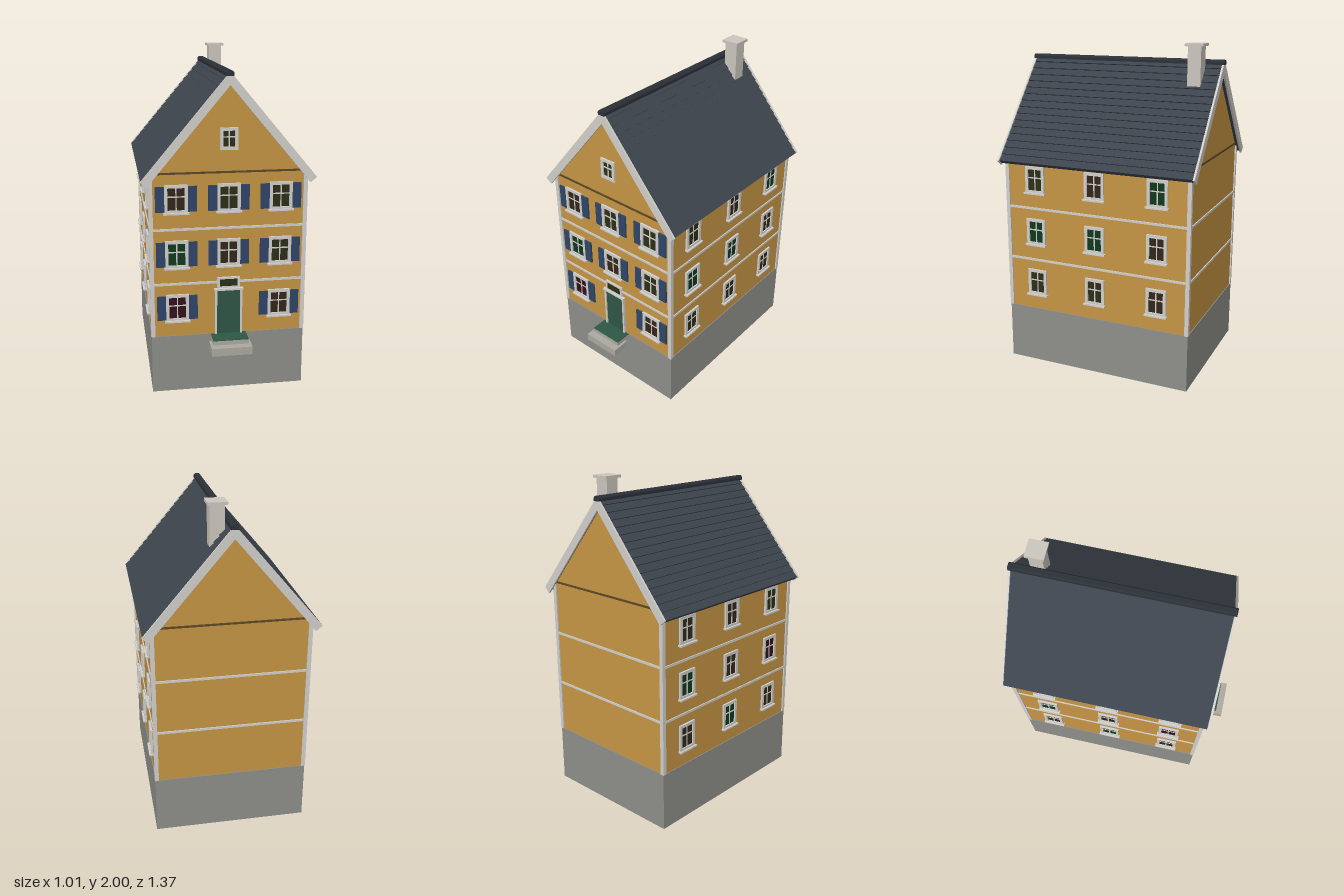
import * as THREE from 'three';

const mat = (color) => new THREE.MeshStandardMaterial({ color, flatShading: true });
const M = {
  wall: mat(0xc69544), stone: mat(0x8e8f89), trim: mat(0xd2d0cb), roof: mat(0x3c434c),
  ridge: mat(0x2c3138), shutter: mat(0x2f4568), door: mat(0x2e5645), step: mat(0xaca9a0),
  chimney: mat(0xcbc7be), beam: mat(0x5c4826),
};
// window glass tints: b brown, o olive, g green, r red
const GLASS = { b: mat(0x33261a), o: mat(0x2d2e17), g: mat(0x10381e), r: mat(0x33101a) };

const CZ = -0.056;           // middle of the house along z
const HX = 0.452, HZ = 0.59; // half width and half depth of the walls
const ROWS = [1.19, 0.862, 0.533];

function box(parent, name, material, w, h, d, x, y, z) {
  const m = new THREE.Mesh(new THREE.BoxGeometry(w, h, d), material);
  m.name = name;
  m.position.set(x, y, z);
  parent.add(m);
  return m;
}

function extrude(parent, name, material, points, z0, z1) {
  const shape = new THREE.Shape(points.map(([x, y]) => new THREE.Vector2(x, y)));
  const geo = new THREE.ExtrudeGeometry(shape, { depth: z1 - z0, bevelEnabled: false });
  geo.translate(0, 0, z0);
  const m = new THREE.Mesh(geo, material);
  m.name = name;
  parent.add(m);
  return m;
}

// Cross-barred window facing +z, its back on z = 0
function makeWindow(name, w, h, glass, { sill = true, shutters = false } = {}) {
  const g = new THREE.Group();
  g.name = name;
  const f = 0.018;
  box(g, 'glass', GLASS[glass], w - f, h - f, 0.006, 0, 0, 0.001);
  for (const s of [-1, 1]) {
    box(g, 'frameSide', M.trim, f, h, 0.014, s * (w - f) / 2, 0, 0.005);
    box(g, 'frameRail', M.trim, w - 2 * f, f, 0.014, 0, s * (h - f) / 2, 0.005);
    if (shutters) box(g, 'shutter', M.shutter, 0.052, 0.148, 0.01, s * (w / 2 + 0.026), 0, 0.005);
  }
  box(g, 'mullion', M.trim, 0.007, h - f, 0.006, 0, 0, 0.004);
  box(g, 'crossbar', M.trim, w - f, 0.007, 0.006, 0, h * 0.08, 0.004);
  if (sill) box(g, 'sill', M.trim, w + 0.014, 0.01, 0.026, 0, -h / 2, 0.011);
  return g;
}

export function createModel() {
  const house = new THREE.Group();
  house.name = 'townHouse';
  const body = new THREE.Group();
  body.name = 'building';
  body.position.z = CZ;
  house.add(body);

  // Stone base and gabled wall block
  box(body, 'base', M.stone, 0.914, 0.355, 1.19, 0, 0.1775, 0);
  extrude(body, 'walls', M.wall,
    [[-HX, 0.35], [HX, 0.35], [HX, 1.33], [0, 1.866], [-HX, 1.33]], -HZ, HZ);

  // Storey bands, gable beams and corner boards
  for (const y of [0.68, 1.01]) box(body, 'storeyBand', M.trim, 2 * HX + 0.012, 0.014, 2 * HZ + 0.012, 0, y, 0);
  for (const sz of [-1, 1]) {
    box(body, 'gableBeam', M.beam, 0.88, 0.011, 0.012, 0, 1.338, sz * HZ);
    for (const sx of [-1, 1])
      box(body, 'cornerBoard', M.trim, 0.024, 0.965, 0.024, sx * (HX - 0.004), 0.8375, sz * (HZ - 0.004));
  }

  // Windows: front with shutters, both sides plain, one small in the gable
  const front = ['boo', 'gbo', 'r b'], right = ['obg', 'ggb', 'oob'], left = ['obo', 'gbr', 'bgb'];
  ROWS.forEach((y, r) => {
    for (let c = 0; c < 3; c++) {
      if (front[r][c] !== ' ') {
        const w = makeWindow('frontWindow', 0.134, 0.166, front[r][c], { shutters: true });
        w.position.set((c - 1) * 0.303, y, HZ);
        body.add(w);
      }
      for (const [s, tints] of [[1, right], [-1, left]]) {
        const w = makeWindow('sideWindow', 0.126, 0.166, tints[r][c]);
        w.position.set(s * HX, y, -s * (c - 1) * 0.395);
        w.rotation.y = s * Math.PI / 2;
        body.add(w);
      }
    }
  });
  const attic = makeWindow('atticWindow', 0.102, 0.126, 'o', { sill: false });
  attic.position.set(0, 1.528, HZ);
  body.add(attic);

  // Front door with frame, lintel and transom light
  const entry = new THREE.Group();
  entry.name = 'entrance';
  entry.position.z = HZ;
  body.add(entry);
  box(entry, 'door', M.door, 0.14, 0.275, 0.01, 0, 0.4925, 0.003);
  for (const s of [-1, 1]) box(entry, 'doorPost', M.trim, 0.012, 0.28, 0.018, s * 0.075, 0.495, 0.007);
  box(entry, 'lintel', M.trim, 0.172, 0.012, 0.024, 0, 0.636, 0.01);
  box(entry, 'transomFrame', M.trim, 0.134, 0.066, 0.014, 0, 0.677, 0.005);
  box(entry, 'transomGlass', GLASS.o, 0.104, 0.042, 0.004, 0, 0.677, 0.012);

  // Door steps with a green landing
  box(house, 'upperStep', M.step, 0.21, 0.03, 0.11, 0, 0.336, 0.585);
  box(house, 'landing', M.door, 0.21, 0.004, 0.11, 0, 0.353, 0.585);
  box(house, 'lowerStep', M.step, 0.24, 0.048, 0.112, 0, 0.3, 0.628);

  // Roof: t runs down the slope from the ridge, n out from it
  const roof = new THREE.Group();
  roof.name = 'roof';
  body.add(roof);
  const TOP = 1.893, L = 0.776, A = Math.atan2(0.6, 0.505), COURSES = 16;
  const at = (s, t, n) => [s * (t * Math.cos(A) + n * Math.sin(A)), TOP - t * Math.sin(A) + n * Math.cos(A)];
  const atRidge = (n) => [0, TOP + n / Math.cos(A)];
  for (const s of [-1, 1]) {
    // Saw-tooth profile of overlapping slate courses
    const pts = [atRidge(-0.028), atRidge(-0.004)];
    for (let i = 0; i < COURSES; i++) {
      if (i) pts.push(at(s, L * i / COURSES, -0.004));
      pts.push(at(s, L * (i + 1) / COURSES, 0.004));
    }
    pts.push(at(s, L, -0.028));
    extrude(roof, 'roofSlope', M.roof, pts, -0.612, 0.612);
    // Bargeboards on both gable ends
    const board = [atRidge(-0.043), atRidge(0.004), at(s, L + 0.003, 0.004), at(s, L + 0.003, -0.043)];
    for (const z of [-0.626, 0.614]) extrude(roof, 'bargeboard', M.trim, board, z, z + 0.012);
  }
  // Faceted ridge cap
  extrude(roof, 'ridgeCap', M.ridge,
    [[-0.022, 1.876], [0.022, 1.876], [0.022, 1.893], [0.013, 1.904], [-0.013, 1.904], [-0.022, 1.893]], -0.628, 0.628);

  // Chimney on the right-hand slope
  box(house, 'chimney', M.chimney, 0.084, 0.242, 0.08, 0.075, 1.866, -0.534);
  box(house, 'chimneyCap', M.chimney, 0.11, 0.016, 0.11, 0.075, 1.992, -0.534);

  return house;
}
